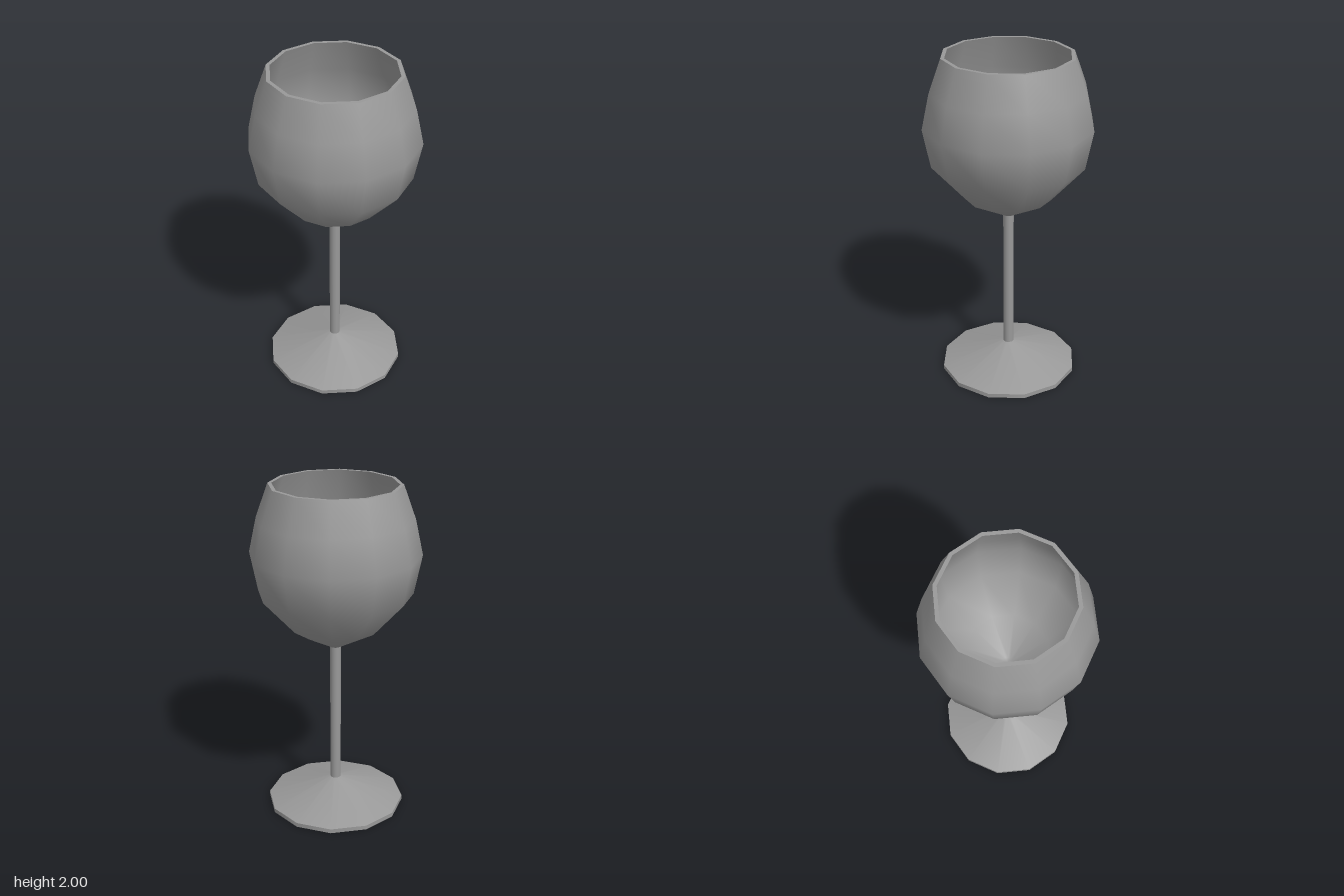
import * as THREE from 'three';

const SIDES = 12;

export function createModel() {
  const model = new THREE.Group();
  model.name = 'wineGlass';
  const grey = new THREE.MeshStandardMaterial({ color: 0x999999 });
  grey.name = 'grey';

  // Turned surface; profiles run up the outside and down the inside
  const turn = (name, profile, parent = model) => {
    const points = profile.map(([r, y]) => new THREE.Vector2(r, y));
    const mesh = new THREE.Mesh(new THREE.LatheGeometry(points, SIDES), grey);
    mesh.name = name;
    parent.add(mesh);
  };

  // Foot: separate surfaces keep its edges sharp
  const foot = new THREE.Group();
  foot.name = 'foot';
  model.add(foot);
  turn('footUnderside', [[0, 0], [0.415, 0]], foot);
  turn('footEdge', [[0.415, 0], [0.415, 0.026]], foot);
  turn('footSlope', [[0.415, 0.026], [0.032, 0.155]], foot);

  // Stem
  turn('stem', [[0.032, 0.15], [0.032, 1.04]]);

  // Bowl: outer wall, flat lip and inner wall
  const bowl = new THREE.Group();
  bowl.name = 'bowl';
  model.add(bowl);
  turn('bowlOutside', [
    [0.03, 1.03], [0.26, 1.158], [0.45, 1.37], [0.495, 1.6], [0.45, 1.805], [0.379, 2],
  ], bowl);
  turn('lip', [[0.379, 2], [0.357, 2]], bowl);
  turn('bowlInside', [
    [0.357, 2], [0.428, 1.8], [0.472, 1.6], [0.43, 1.38], [0.248, 1.178], [0.03, 1.055], [0, 1.055],
  ], bowl);

  return model;
}
